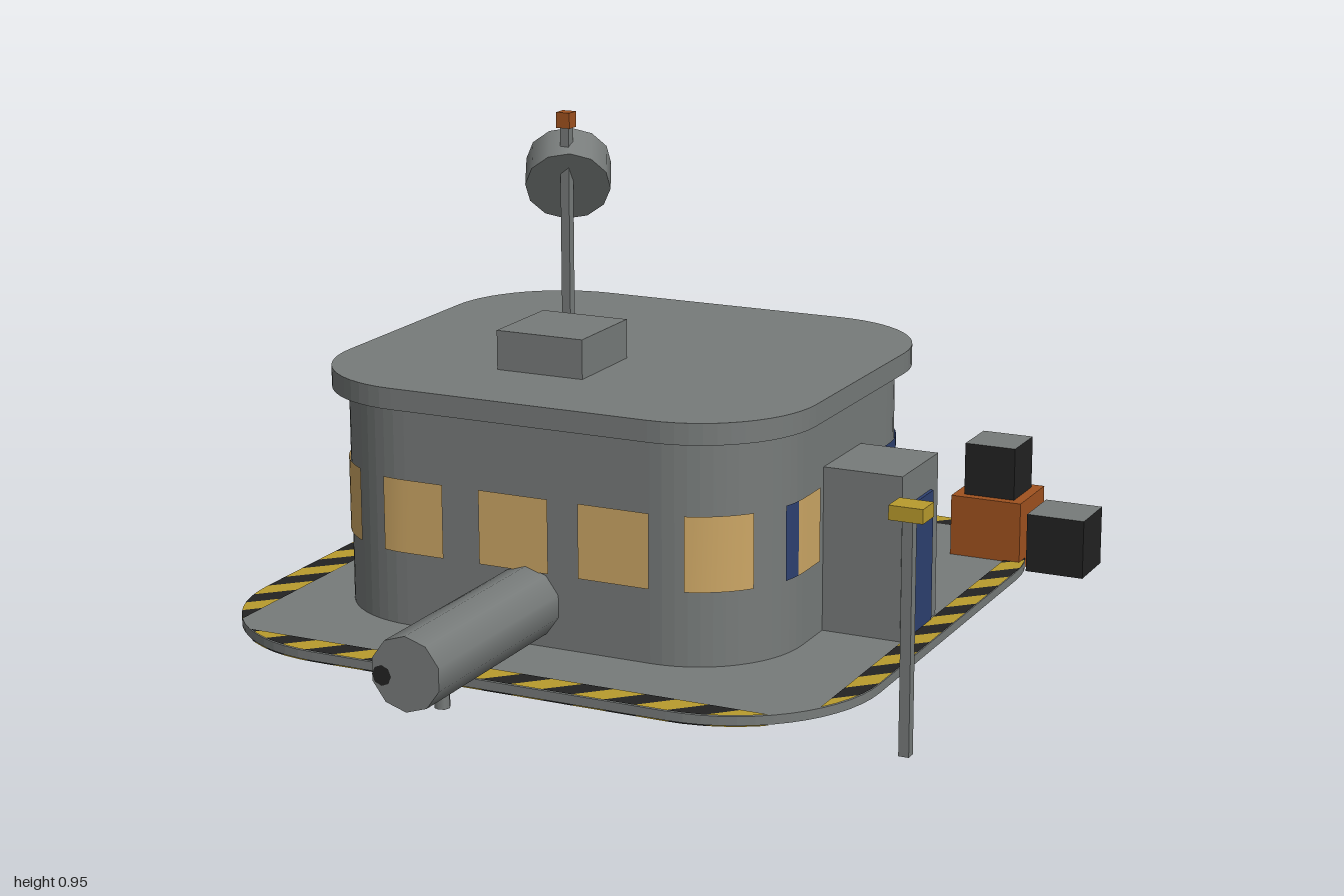
import * as THREE from 'three';
import { mergeGeometries } from 'three/addons/utils/BufferGeometryUtils.js';

const paint = (name, color, side = THREE.FrontSide) => {
  const m = new THREE.MeshStandardMaterial({ color, side });
  m.name = name;
  return m;
};

// Rounded rectangle in plan (x, -z), counter-clockwise from the front left
function plan(x0, x1, z0, z1, r) {
  const s = new THREE.Shape();
  s.moveTo(x0 + r, -z1);
  s.lineTo(x1 - r, -z1);
  s.absarc(x1 - r, -z1 + r, r, -Math.PI / 2, 0);
  s.lineTo(x1, -z0 - r);
  s.absarc(x1 - r, -z0 - r, r, 0, Math.PI / 2);
  s.lineTo(x0 + r, -z0);
  s.absarc(x0 + r, -z0 - r, r, Math.PI / 2, Math.PI);
  s.lineTo(x0, -z1 + r);
  s.absarc(x0 + r, -z1 + r, r, Math.PI, Math.PI * 1.5);
  return s;
}

// Keep the part of a convex polygon where nx*x + ny*y <= d
function clip(poly, nx, ny, d) {
  const out = [];
  poly.forEach((a, i) => {
    const b = poly[(i + 1) % poly.length];
    const da = nx * a.x + ny * a.y - d, db = nx * b.x + ny * b.y - d;
    if (da <= 0) out.push(a);
    if (da * db < 0) out.push(a.clone().lerp(b, da / (da - db)));
  });
  return out;
}

export function createModel() {
  const model = new THREE.Group();
  model.name = 'outpost';
  const grey = paint('grey metal', 0x777b7a);
  const black = paint('black', 0x222222, THREE.DoubleSide);
  const yellow = paint('hazard yellow', 0xb99b2d, THREE.DoubleSide);
  const orange = paint('rust orange', 0xa0521f);
  const tan = paint('lit window', 0xcda765, THREE.DoubleSide);
  const blue = paint('dark blue', 0x2d4070, THREE.DoubleSide);

  const add = (name, geo, mat, x = 0, y = 0, z = 0) => {
    const m = new THREE.Mesh(geo, mat);
    m.name = name;
    m.position.set(x, y, z);
    model.add(m);
    return m;
  };
  const box = (name, mat, x0, x1, y0, y1, z0, z1) =>
    add(name, new THREE.BoxGeometry(x1 - x0, y1 - y0, z1 - z0), mat,
      (x0 + x1) / 2, (y0 + y1) / 2, (z0 + z1) / 2);
  const slab = (name, shape, y0, y1) => add(name,
    new THREE.ExtrudeGeometry(shape, { depth: y1 - y0, bevelEnabled: false, curveSegments: 7 })
      .rotateX(-Math.PI / 2), grey, 0, y0, 0);

  // Landing slab, walls and overhanging roof
  const base = plan(-0.78, 0.58, -0.6, 0.76, 0.3);
  slab('baseSlab', base, 0.002, 0.02);
  slab('walls', plan(-0.615, 0.36, -0.325, 0.54, 0.22), 0.02, 0.47);
  slab('roof', plan(-0.645, 0.39, -0.36, 0.57, 0.24), 0.467, 0.51);
  box('roofHatch', grey, -0.29, -0.1, 0.505, 0.59, 0.155, 0.35);

  // Diagonal hazard bands along the four edges, cut to the slab outline
  const outline = base.extractPoints(7).shape;
  outline.pop();
  const period = 0.13;
  const edges = [
    ['left', 1, 0, -0.71, true], ['right', -1, 0, -0.53, false],
    ['back', 0, -1, -0.545, false], ['front', 0, 1, -0.7, true],
  ];
  for (const [side, nx, ny, d, under] of edges) {
    const strip = clip(outline, nx, ny, d);
    const bands = [[], []];
    for (let k = -30; k < 30; k++) {
      const from = k * period / 2;
      const band = clip(clip(strip, -1, 1, -from), 1, -1, from + period / 2);
      if (band.length < 3) continue;
      bands[k & 1].push(new THREE.ShapeGeometry(new THREE.Shape(band)).rotateX(-Math.PI / 2));
    }
    bands.forEach((list, i) => {
      const geo = mergeGeometries(list);
      add(side + 'HazardBands', geo, i ? yellow : black, 0, 0.022, 0);
      if (under) add(side + 'LowerHazardBands', geo, i ? yellow : black, 0, 0, 0);
    });
  }

  // Window panels that follow the wall, placed by distance along it
  const path = plan(-0.619, 0.364, -0.329, 0.544, 0.224);
  path.arcLengthDivisions = 400;
  const length = path.getLength();
  function windowPanel(s0, s1, mat) {
    const pos = [], idx = [], n = 8;
    for (let i = 0; i <= n; i++) {
      const s = (s0 + (s1 - s0) * i / n) * length / 3.3;
      const p = path.getPointAt((((s / length) % 1) + 1) % 1);
      pos.push(p.x, 0.17, -p.y, p.x, 0.32, -p.y);
      const a = i * 2;
      if (i < n) idx.push(a, a + 2, a + 3, a, a + 3, a + 1);
    }
    const g = new THREE.BufferGeometry();
    g.setAttribute('position', new THREE.Float32BufferAttribute(pos, 3));
    g.setIndex(idx);
    g.computeVertexNormals();
    add('window', g, mat);
  }
  const lit = [[-0.05, 0.085], [0.165, 0.315], [0.38, 0.53], [0.6, 0.735], [0.855, 0.955],
    [1.432, 1.48], [1.75, 1.89], [1.955, 2.105], [2.2, 2.26], [2.385, 2.53],
    [2.6, 2.75], [2.815, 2.9], [3.03, 3.175]];
  const dark = [[0.813, 0.855], [1.25, 1.432], [1.55, 1.64], [2.17, 2.2], [2.26, 2.31], [2.9, 2.96]];
  lit.forEach(([a, b]) => windowPanel(a, b, tan));
  dark.forEach(([a, b]) => windowPanel(a, b, blue));

  // Entrance porch and door
  box('porch', grey, 0.34, 0.525, 0.01, 0.355, 0.03, 0.22);
  box('door', blue, 0.525, 0.532, 0.022, 0.29, 0.07, 0.18);

  // Service pipe through the building, on two feet
  add('servicePipe', new THREE.CylinderGeometry(0.073, 0.073, 2, 10).rotateX(Math.PI / 2),
    grey, -0.127, 0.106, 0);
  for (const z of [0.87, -0.645])
    add('pipeFoot', new THREE.CylinderGeometry(0.015, 0.015, 0.045, 8), grey, -0.127, 0.0225, z);
  add('pipeMark', new THREE.CircleGeometry(0.02, 8), black, -0.177, 0.097, 1.001);

  // Mast with tilted dish and warning lamp
  box('mast', grey, -0.38, -0.36, 0.5, 0.925, -0.115, -0.095);
  box('mastLamp', orange, -0.386, -0.355, 0.92, 0.953, -0.12, -0.09);
  const dish = add('dish', new THREE.CylinderGeometry(0.09, 0.09, 0.085, 12), grey, -0.39, 0.813, -0.15);
  dish.quaternion.setFromUnitVectors(new THREE.Vector3(0, 1, 0),
    new THREE.Vector3(-0.38, 0.5, -0.78).normalize());

  // Marker post
  box('markerPost', grey, 0.73, 0.75, 0, 0.445, 0.72, 0.74);
  box('markerCap', yellow, 0.71, 0.775, 0.44, 0.467, 0.703, 0.755);

  // Cargo: an orange crate and two boxes with black right and front faces
  const cargo = [black, grey, grey, grey, black, grey];
  box('crate', orange, 0.41, 0.565, 0, 0.15, -0.505, -0.355);
  box('stackedBox', cargo, 0.432, 0.543, 0.15, 0.262, -0.485, -0.375);
  box('groundBox', cargo, 0.575, 0.7, 0, 0.125, -0.49, -0.37);
  return model;
}
